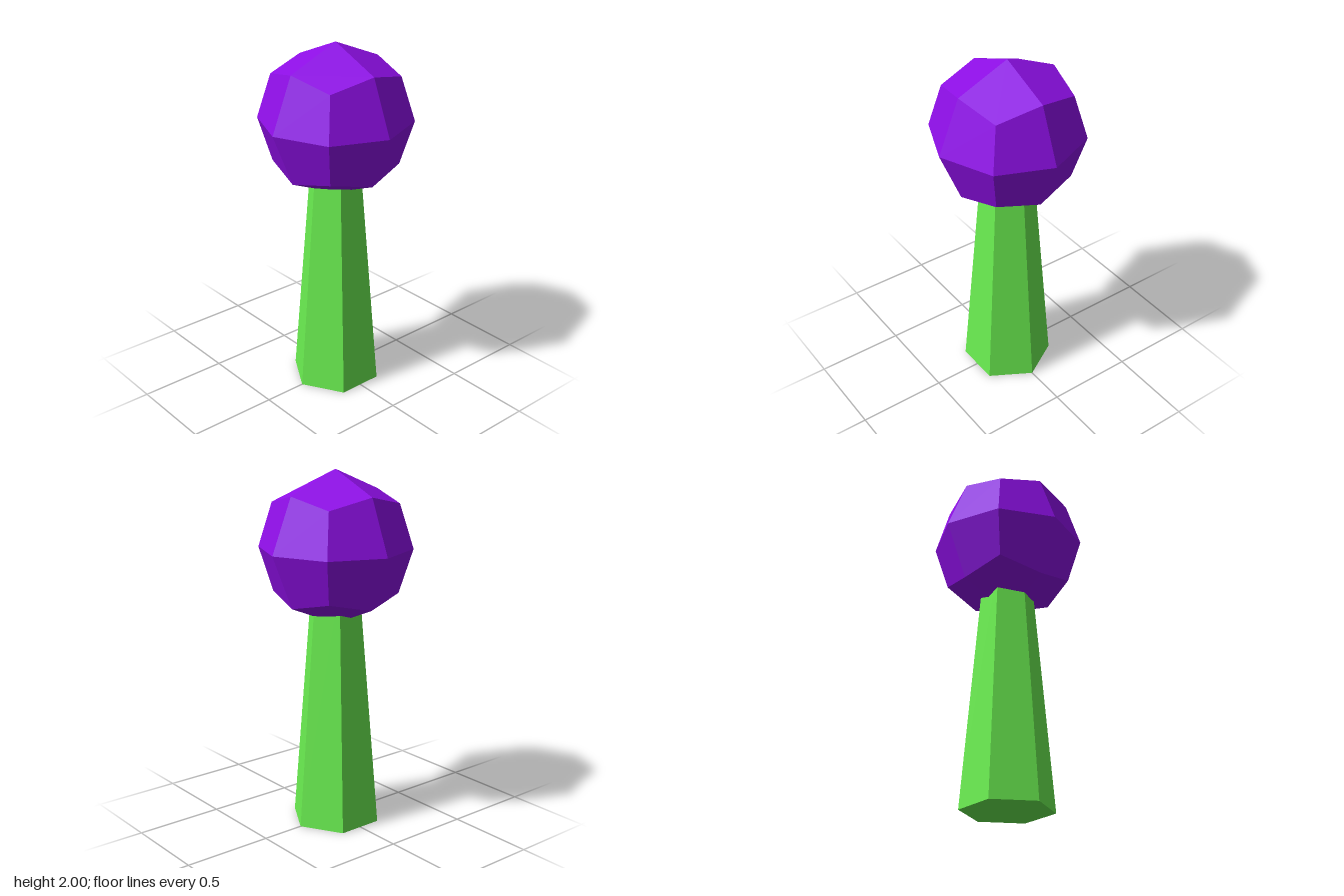
import * as THREE from 'three';

// Cube grid pushed out to a sphere: 24 kite-shaped facets, one normal per facet
function facetedBall(radius) {
  const box = new THREE.BoxGeometry(2, 2, 2, 2, 2, 2).toNonIndexed();
  const pos = box.attributes.position;
  const nor = box.attributes.normal;
  const v = new THREE.Vector3();
  for (let i = 0; i < pos.count; i++) {
    v.fromBufferAttribute(pos, i).setLength(radius);
    pos.setXYZ(i, v.x, v.y, v.z);
  }
  box.computeVertexNormals();
  for (let q = 0; q < pos.count; q += 6) {
    const n = new THREE.Vector3();
    for (let k = 0; k < 6; k++) n.add(v.fromBufferAttribute(nor, q + k));
    n.normalize();
    for (let k = 0; k < 6; k++) nor.setXYZ(q + k, n.x, n.y, n.z);
  }
  return box;
}

export function createModel() {
  const model = new THREE.Group();
  model.name = 'roundTree';

  // Tapered six-sided trunk with its upper end sunk into the crown
  const height = 1.4;
  const trunk = new THREE.Mesh(
    new THREE.CylinderGeometry(0.138, 0.257, height, 6),
    new THREE.MeshStandardMaterial({ color: 0x6aee50, flatShading: true })
  );
  trunk.name = 'trunk';
  trunk.position.y = height / 2;
  model.add(trunk);

  // Faceted round crown
  const crown = new THREE.Mesh(
    facetedBall(0.424),
    new THREE.MeshStandardMaterial({ color: 0x8e0fe6 })
  );
  crown.name = 'crown';
  crown.position.y = 2 - 0.424;
  model.add(crown);

  return model;
}
